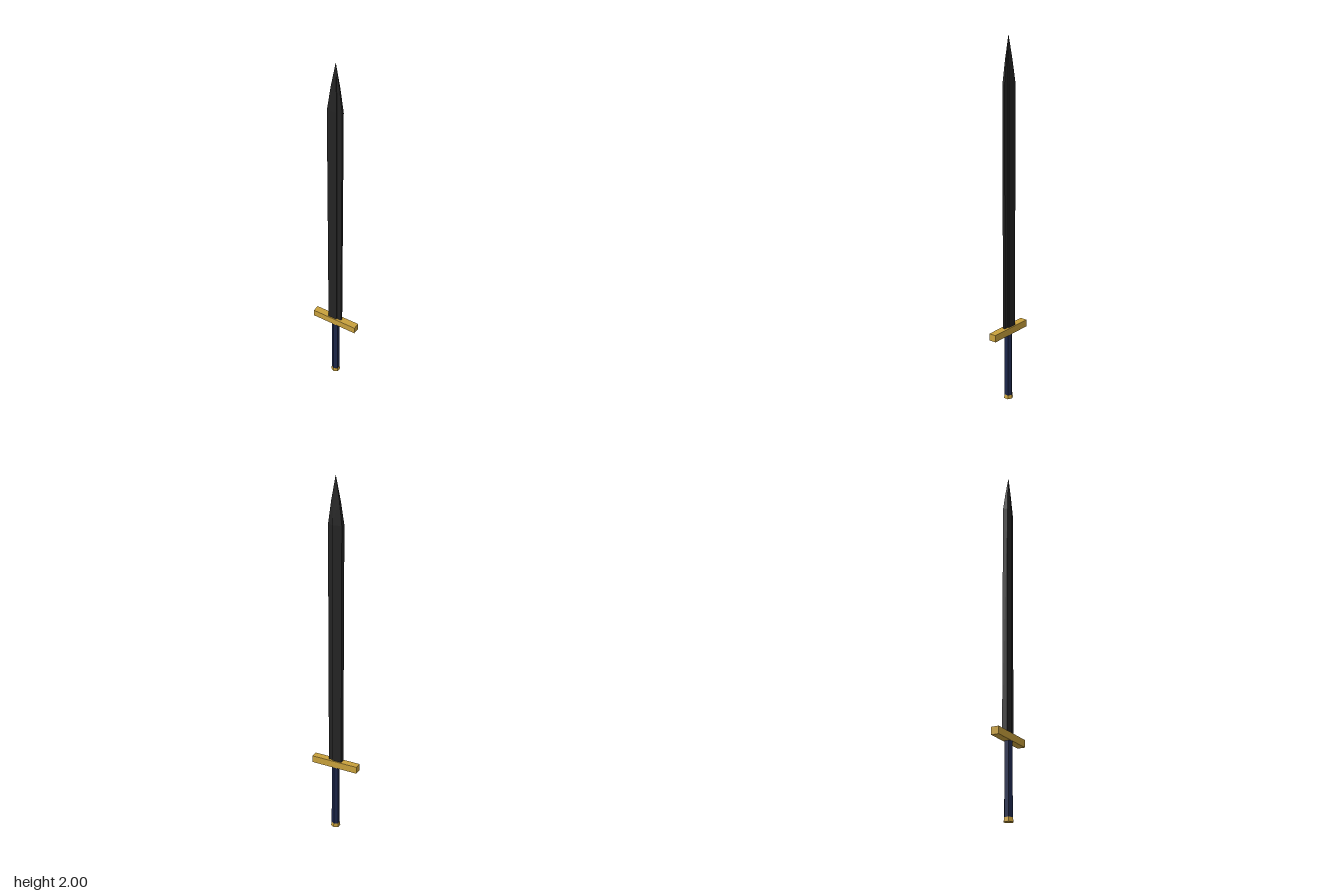
import * as THREE from 'three';

const mat = (name, color) => {
  const m = new THREE.MeshStandardMaterial({ color });
  m.name = name;
  m.flatShading = true;
  return m;
};

// Loft between scaled copies of one outline; levels are [y, scaleX, scaleZ]
function loft(outline, levels) {
  const pos = [];
  const n = outline.length;
  const at = (l, i) => {
    const [y, sx, sz] = levels[l];
    const [x, z] = outline[i % n];
    return [x * sx, y, z * sz];
  };
  for (let l = 0; l < levels.length - 1; l++) {
    for (let i = 0; i < n; i++) {
      const a = at(l, i), b = at(l, i + 1), c = at(l + 1, i + 1), d = at(l + 1, i);
      pos.push(...a, ...b, ...c, ...a, ...c, ...d);
    }
  }
  const g = new THREE.BufferGeometry();
  g.setAttribute('position', new THREE.Float32BufferAttribute(pos, 3));
  g.computeVertexNormals();
  return g;
}

export function createModel() {
  const group = new THREE.Group();
  group.name = 'sword';
  const steel = mat('darkSteel', 0x232323);
  const gold = mat('gold', 0xc8a03c);
  const wrap = mat('navyGrip', 0x1c264a);

  const add = (name, geometry, material, y = 0) => {
    const mesh = new THREE.Mesh(geometry, material);
    mesh.name = name;
    mesh.position.y = y;
    group.add(mesh);
  };

  // Blade: thick spine on one side, thinner cutting edge on the other
  const outline = [
    [-0.041, 0.014], [0.0125, 0.014], [0.0125, 0.007], [0.04, 0.007],
    [0.04, -0.007], [0.0125, -0.007], [0.0125, -0.014], [-0.041, -0.014],
  ];
  add('blade', loft(outline, [
    [0.42, 1, 1], [1.76, 1, 1], [1.88, 0.58, 0.52], [2, 0.01, 0.05],
  ]), steel);

  // Crossguard
  add('crossguard', new THREE.BoxGeometry(0.28, 0.04, 0.042), gold, 0.415);

  // Six-sided grip and flared pommel
  add('grip', new THREE.CylinderGeometry(0.0225, 0.0235, 0.375, 6), wrap, 0.2085);
  add('pommel', new THREE.CylinderGeometry(0.024, 0.027, 0.022, 6), gold, 0.011);

  return group;
}
